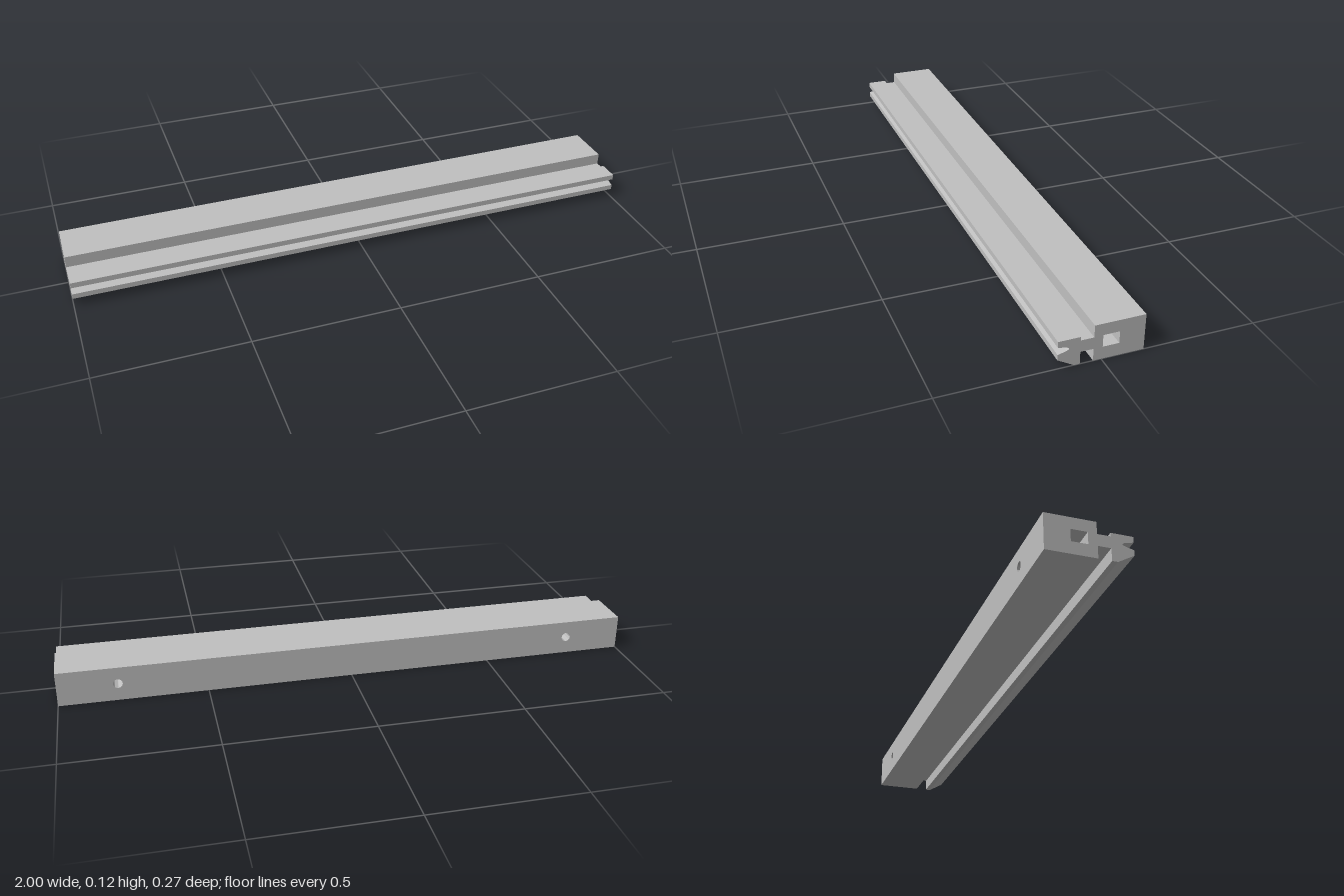
import * as THREE from 'three';
import { toCreasedNormals } from 'three/addons/utils/BufferGeometryUtils.js';

const LENGTH = 2, HEIGHT = 0.12, AXIS_Y = 0.061, HOLE_X = 0.8;
const BACK = -0.135, CAVITY_BACK = -0.055, CAVITY_FRONT = -0.003;

export function createModel() {
  const group = new THREE.Group();
  group.name = 'clampRail';
  const metal = new THREE.MeshStandardMaterial({ color: 0xc0c0c0 });
  metal.name = 'light grey metal';

  const add = (name, geometry, x = 0, y = 0, z = 0) => {
    const mesh = new THREE.Mesh(geometry, metal);
    mesh.name = name;
    mesh.position.set(x, y, z);
    group.add(mesh);
  };

  // Rail section as [z, y]: grooved jaw, neck, and block open at the rear channel
  const section = [
    [CAVITY_BACK, 0], [0.025, 0], [0.025, 0.041], [0.066, 0.041], [0.066, 0],
    [0.084, 0], [0.136, 0.03], [0.136, 0.048], [0.109, 0.055], [0.101, 0.059],
    [0.101, 0.062], [0.107, 0.066], [0.136, 0.073], [0.136, 0.092], [0.066, 0.092],
    [0.066, 0.08], [0.025, 0.08], [0.025, HEIGHT], [CAVITY_BACK, HEIGHT],
    [CAVITY_BACK, 0.081], [CAVITY_FRONT, 0.081], [CAVITY_FRONT, 0.041], [CAVITY_BACK, 0.041],
  ];
  const rail = new THREE.ExtrudeGeometry(
    new THREE.Shape(section.map(([z, y]) => new THREE.Vector2(-z, y))),
    { depth: LENGTH, bevelEnabled: false },
  );
  rail.translate(0, 0, -LENGTH / 2).rotateY(Math.PI / 2);
  add('groovedRail', rail);

  // Rear wall closing the channel, bored for the two screws
  const wall = new THREE.Shape([
    new THREE.Vector2(-LENGTH / 2, 0), new THREE.Vector2(LENGTH / 2, 0),
    new THREE.Vector2(LENGTH / 2, HEIGHT), new THREE.Vector2(-LENGTH / 2, HEIGHT),
  ]);
  for (const side of [-1, 1]) {
    wall.holes.push(new THREE.Path().absarc(side * HOLE_X, AXIS_Y, 0.016, 0, Math.PI * 2, true));
  }
  const wallGeometry = new THREE.ExtrudeGeometry(wall, {
    depth: CAVITY_BACK - BACK, bevelEnabled: false, curveSegments: 24,
  });
  add('rearWall', toCreasedNormals(wallGeometry, 0.6), 0, 0, BACK);

  // Threaded screws crossing the channel
  const teeth = 9, span = CAVITY_FRONT - CAVITY_BACK, pitch = span / teeth;
  const core = 0.0145, crest = 0.019;
  const profile = [new THREE.Vector2(0, 0), new THREE.Vector2(core, 0)];
  for (let i = 0; i < teeth; i++) {
    const start = i * pitch;
    profile.push(
      new THREE.Vector2(core, start + pitch * 0.2),
      new THREE.Vector2(crest, start + pitch * 0.4),
      new THREE.Vector2(crest, start + pitch * 0.6),
      new THREE.Vector2(core, start + pitch * 0.8),
    );
  }
  profile.push(new THREE.Vector2(core, span), new THREE.Vector2(0, span));
  const screw = toCreasedNormals(new THREE.LatheGeometry(profile, 32).rotateX(Math.PI / 2), 0.5);
  add('leftScrew', screw, HOLE_X, AXIS_Y, CAVITY_BACK);
  add('rightScrew', screw, -HOLE_X, AXIS_Y, CAVITY_BACK);

  return group;
}
